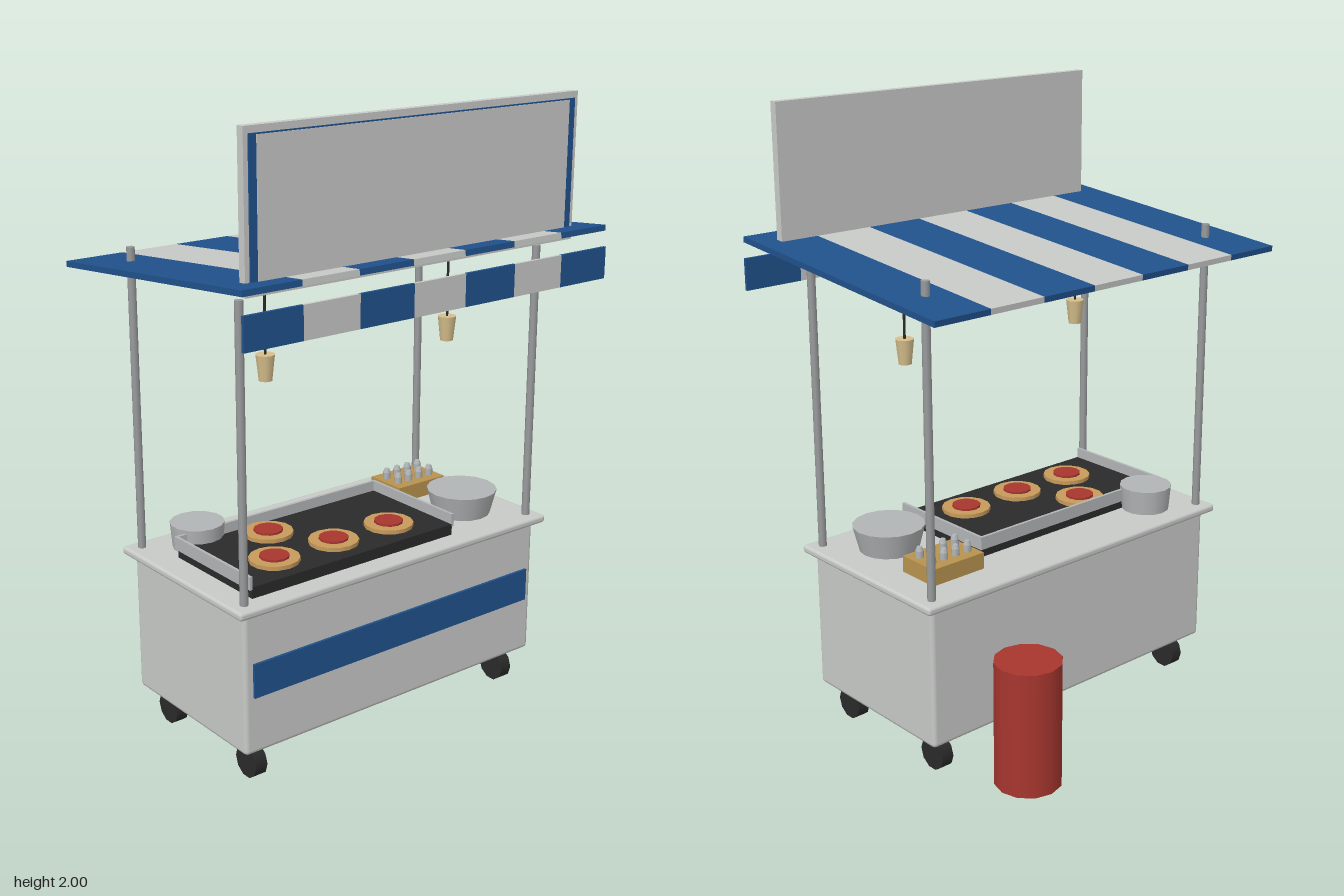
import * as THREE from 'three';
import { RoundedBoxGeometry } from 'three/addons/geometries/RoundedBoxGeometry.js';

const mat = (name, color, side = THREE.FrontSide) => {
  const m = new THREE.MeshStandardMaterial({ color, side });
  m.name = name;
  return m;
};

export function createModel() {
  const group = new THREE.Group();
  const white = mat('painted white', 0xc8cac8);
  const steel = mat('steel', 0x9a9c9d);
  const pan = mat('pan metal', 0xb2b5b6);
  const blue = mat('blue', 0x20528c);
  const black = mat('black iron', 0x2a2a2b);
  const red = mat('red', 0xa8362f);
  const dough = mat('dough', 0xc79a5a);
  const wood = mat('wood', 0xb8934f);
  const shade = mat('lamp shade', 0xd6bf8c);

  const add = (name, geo, m, x, y, z, parent = group) => {
    const mesh = new THREE.Mesh(geo, m);
    mesh.name = name;
    mesh.position.set(x, y, z);
    parent.add(mesh);
    return mesh;
  };
  const box = (name, m, w, h, d, x, y, z, parent) =>
    add(name, new THREE.BoxGeometry(w, h, d), m, x, y, z, parent);
  // Cylinder standing on y0 and reaching y1
  const cyl = (name, m, rTop, rBottom, y0, y1, sides, x, z) =>
    add(name, new THREE.CylinderGeometry(rTop, rBottom, y1 - y0, sides), m, x, (y0 + y1) / 2, z);

  // Cart body, counter and front stripe
  add('cartBody', new RoundedBoxGeometry(1.18, 0.465, 0.59, 2, 0.015), white, 0, 0.353, 0.055);
  add('counter', new RoundedBoxGeometry(1.24, 0.026, 0.645, 2, 0.01), white, 0, 0.593, 0.055);
  box('frontStripe', blue, 1.12, 0.11, 0.009, 0, 0.365, 0.354);

  // Wheels, posts and hanging lamps on both sides
  for (const s of [-1, 1]) {
    for (const z of [0.272, -0.16]) {
      const wheel = add('wheel', new THREE.CylinderGeometry(0.053, 0.053, 0.042, 10), black, s * 0.515, 0.053, z);
      wheel.rotation.z = Math.PI / 2;
      box('wheelFork', black, 0.03, 0.04, 0.03, s * 0.515, 0.105, z);
    }
    cyl('frontPost', steel, 0.013, 0.013, 0.6, 1.515, 8, s * 0.574, 0.33);
    cyl('backPost', steel, 0.013, 0.013, 0.6, 1.57, 8, s * 0.574, -0.222);
    cyl('lampCord', black, 0.004, 0.004, 1.28, 1.515, 6, s * 0.36, 0.156);
    cyl('lampShade', shade, 0.03, 0.021, 1.205, 1.285, 10, s * 0.36, 0.156);
  }

  // Sloping striped awning with a hanging valance
  const awning = new THREE.Group();
  awning.name = 'awning';
  awning.position.set(0, 1.543, 0.053);
  awning.rotation.x = -0.09;
  group.add(awning);
  const stripeW = 1.38 / 7;
  for (let i = 0; i < 7; i++) {
    const m = i % 2 ? white : blue;
    const x = (i - 3) * stripeW;
    box('awningStripe', m, stripeW, 0.018, 0.918, x, 0, 0, awning);
    box('valanceStripe', m, stripeW, 0.1, 0.01, x, 1.475, 0.51);
  }

  // Sign board with a blue-edged panel
  box('signBoard', white, 1.245, 0.455, 0.026, 0, 1.7725, 0.417);
  box('signBorder', blue, 1.215, 0.405, 0.004, 0, 1.7775, 0.432);
  box('signPanel', white, 1.165, 0.397, 0.004, 0, 1.7775, 0.434);

  // Griddle with splash guards on three sides
  box('griddle', black, 0.79, 0.038, 0.39, -0.135, 0.623, 0.115);
  box('backGuard', pan, 0.805, 0.042, 0.01, -0.135, 0.655, -0.083);
  for (const s of [-1, 1]) box('sideGuard', pan, 0.01, 0.042, 0.39, -0.135 + s * 0.398, 0.655, 0.115);

  // Flatbreads with red topping
  for (const [x, z] of [[-0.36, 0.19], [-0.25, 0.01], [-0.13, 0.19], [0.095, 0.19]]) {
    cyl('flatbread', dough, 0.08, 0.08, 0.64, 0.655, 14, x, z);
    cyl('topping', red, 0.047, 0.047, 0.654, 0.662, 12, x, z);
  }

  // Pots
  cyl('largePot', pan, 0.116, 0.095, 0.605, 0.688, 16, 0.427, 0.175);
  cyl('smallPot', pan, 0.087, 0.08, 0.605, 0.688, 14, -0.428, -0.125);

  // Condiment crate with two rows of bottles
  box('crate', wood, 0.2, 0.055, 0.147, 0.41, 0.632, -0.077);
  for (let i = 0; i < 4; i++) {
    for (const z of [-0.047, -0.107]) {
      cyl('bottle', pan, 0.013, 0.013, 0.655, 0.682, 8, 0.341 + i * 0.046, z);
      cyl('bottleTop', pan, 0.008, 0.013, 0.682, 0.695, 8, 0.341 + i * 0.046, z);
    }
  }

  // Gas canister behind the cart
  cyl('gasCanister', red, 0.106, 0.106, 0, 0.41, 12, 0.36, -0.408);

  return group;
}
